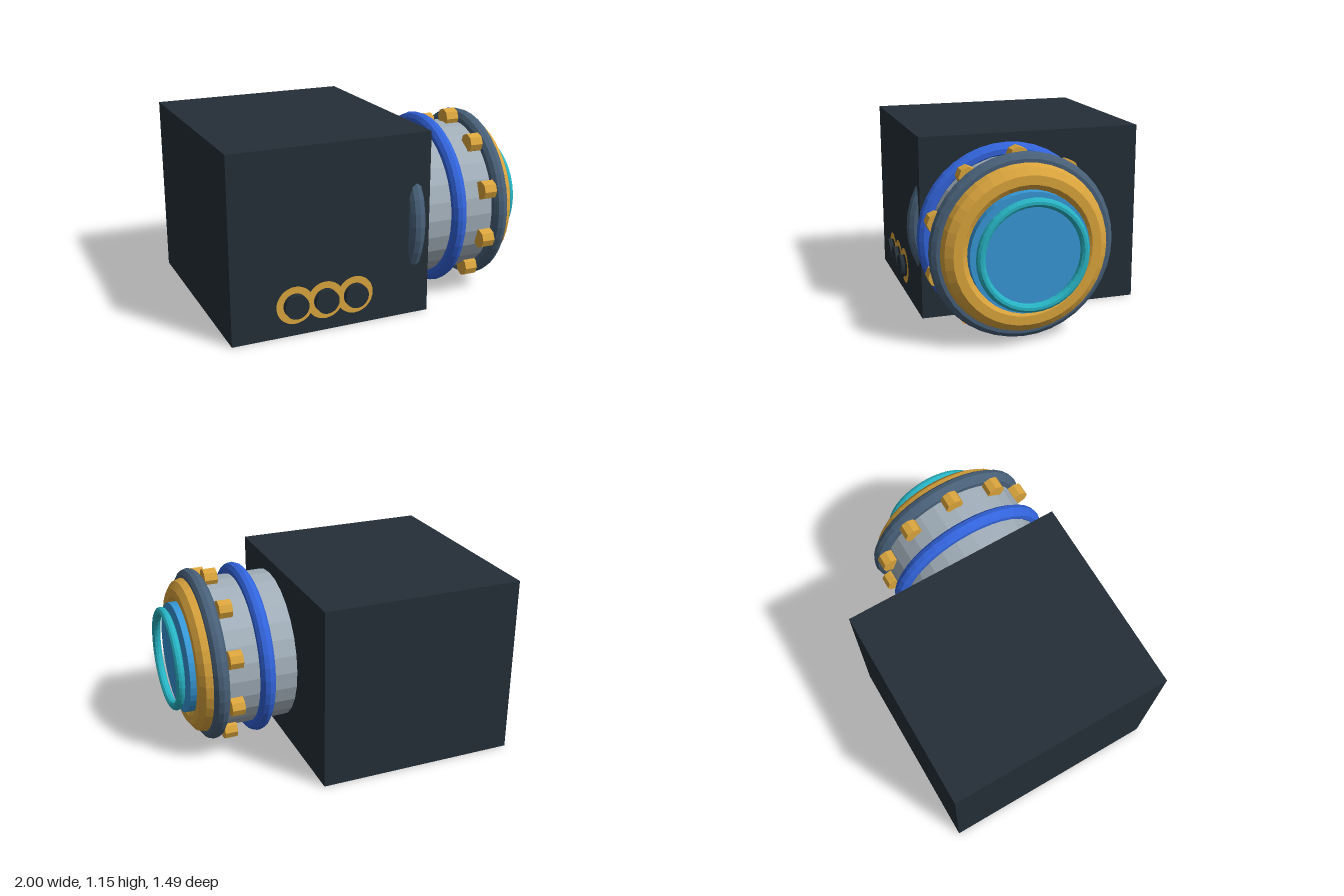
import * as THREE from 'three';

const AXIS_Y = 0.575, AXIS_Z = 0.185; // centre line of the barrel, which points along +x

function paint(name, color) {
  const m = new THREE.MeshStandardMaterial({ color, flatShading: true });
  m.name = name;
  return m;
}

export function createModel() {
  const group = new THREE.Group();
  const charcoal = paint('charcoal', 0x252f37);
  const slate = paint('slate', 0x486078);
  const steel = paint('steel', 0xa2afba);
  const gold = paint('gold', 0xdba53d);
  const royal = paint('royal blue', 0x3264dc);
  const sky = paint('sky blue', 0x3798d8);
  const teal = paint('teal', 0x27b4c4);

  function add(name, geometry, material, x, y, z) {
    const mesh = new THREE.Mesh(geometry, material);
    mesh.name = name;
    mesh.position.set(x, y, z);
    group.add(mesh);
    return mesh;
  }
  // Cylinder along x, from x0 to x1
  function drum(name, material, x0, x1, radius, sides, y = AXIS_Y, z = AXIS_Z) {
    const geo = new THREE.CylinderGeometry(radius, radius, x1 - x0, sides).rotateZ(-Math.PI / 2);
    return add(name, geo, material, (x0 + x1) / 2, y, z);
  }
  // Torus around the barrel
  function hoop(name, material, x, radius, tube, sides = 10) {
    const geo = new THREE.TorusGeometry(radius, tube, sides, 40).rotateY(Math.PI / 2);
    return add(name, geo, material, x, AXIS_Y, AXIS_Z);
  }

  // Housing
  add('housing', new THREE.BoxGeometry(1.275, 1.152, 1.425), charcoal, -0.3625, 0.576, -0.036);

  // Barrel with its bands
  drum('barrel', steel, 0.1, 0.81, 0.49, 28);
  hoop('rearBand', slate, 0.185, 0.508, 0.05);
  hoop('middleBand', royal, 0.475, 0.511, 0.048);
  hoop('frontBand', slate, 0.77, 0.508, 0.05);

  // Grip lugs around the barrel
  for (let i = 0; i < 10; i++) {
    const a = Math.PI / 2 + (i * Math.PI) / 5;
    drum('gripLug', gold, 0.635, 0.718, 0.06, 8,
      AXIS_Y + 0.514 * Math.sin(a), AXIS_Z + 0.514 * Math.cos(a));
  }

  // Collar, lens and floating rim
  hoop('collar', gold, 0.81, 0.416, 0.088);
  drum('lens', sky, 0.75, 0.925, 0.358, 40);
  hoop('lensRim', teal, 0.973, 0.309, 0.027);

  // Buttons with flat rings on the front face
  for (const x of [-0.607, -0.414, -0.222]) {
    add('buttonRing', new THREE.RingGeometry(0.075, 0.118, 32), gold, x, 0.195, 0.682);
    add('button', new THREE.CylinderGeometry(0.075, 0.075, 0.025, 24).rotateX(Math.PI / 2),
      charcoal, x, 0.195, 0.706);
  }
  return group;
}
